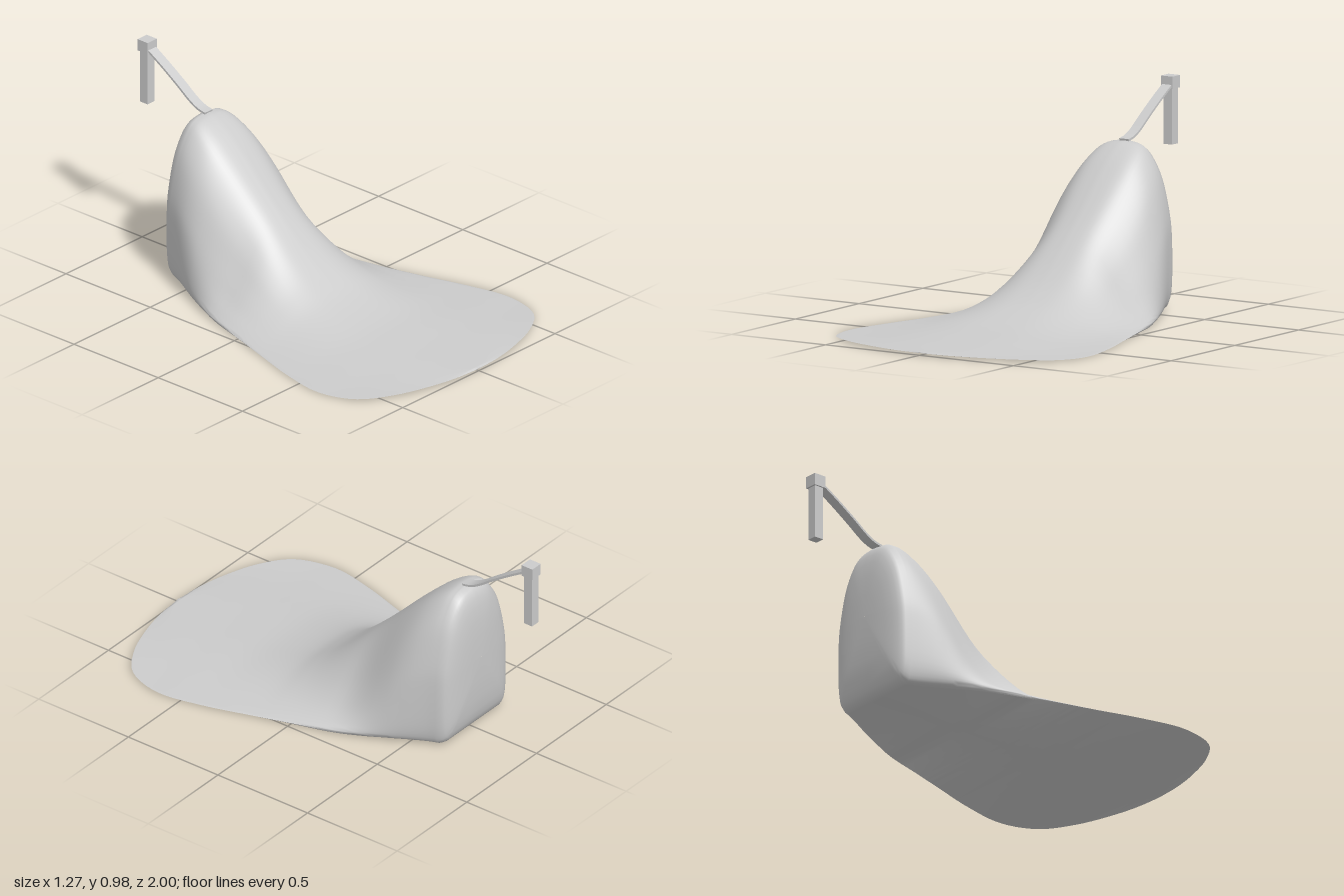
import * as THREE from 'three';
import { toCreasedNormals } from 'three/addons/utils/BufferGeometryUtils.js';

const V2 = (x, y) => new THREE.Vector2(x, y);
const V3 = (a) => new THREE.Vector3(...a);

// Stations along the body: z, ridge height, half width
const STATIONS = [
  [1, 0.019, 0.003], [0.99, 0.02, 0.14], [0.96, 0.021, 0.28], [0.9, 0.023, 0.445],
  [0.8, 0.027, 0.58], [0.62, 0.035, 0.637], [0.4, 0.052, 0.6], [0.2, 0.1, 0.54],
  [0.1, 0.152, 0.51], [0, 0.225, 0.48], [-0.2, 0.41, 0.42], [-0.4, 0.61, 0.34],
  [-0.5, 0.695, 0.295], [-0.58, 0.74, 0.257], [-0.62, 0.745, 0.24],
];
// Half sections from ridge to base edge, as fractions of width and height
const BACK = [[0, 1], [0.32, 0.985], [0.54, 0.93], [0.78, 0.79], [0.95, 0.57], [1, 0.4], [1, 0.15], [0.94, 0.03], [0.82, 0]];
const FRONT = [[0, 1], [0.2, 0.97], [0.35, 0.86], [0.5, 0.66], [0.65, 0.42], [0.8, 0.22], [0.93, 0.1], [1, 0.04], [0.99, 0]];
// Rounded rear end: z, scale of the last section about its middle
const REAR = [[-0.645, 0.96], [-0.658, 0.91], [-0.668, 0.84], [-0.677, 0.73], [-0.685, 0.55], [-0.69, 0.3], [-0.692, 0.003]];
const MIDDLE = 0.39;

// Closed section: base centre, +x side, ridge, -x side
function section(z, height, width) {
  const blend = THREE.MathUtils.smoothstep(z, -0.62, -0.15);
  const half = new THREE.SplineCurve(BACK.map((p, i) => V2(...p).lerp(V2(...FRONT[i]), blend))).getPoints(32);
  const widest = Math.max(...half.map((p) => p.x));
  const base = 0.005 + 0.01 * THREE.MathUtils.smoothstep(z, 0.65, 1) + 0.005 * THREE.MathUtils.smoothstep(-z, 0, 0.6);
  const right = half.map((p) => V2((p.x / widest) * width, base + p.y * (height - base))).reverse();
  const left = right.slice(0, -1).reverse().map((p) => V2(-p.x, p.y));
  return [V2(0, base), ...right, ...left].map((p) => new THREE.Vector3(p.x, p.y, z));
}

// Skin a row of closed sections running from front to back
function loft(rings) {
  const n = rings[0].length;
  const index = [];
  for (let r = 0; r < rings.length - 1; r++) {
    for (let j = 0; j < n; j++) {
      const k = (j + 1) % n;
      const a = r * n + j, b = r * n + k, c = a + n, d = b + n;
      index.push(a, c, b, b, c, d);
    }
  }
  const geometry = new THREE.BufferGeometry().setFromPoints(rings.flat());
  geometry.setIndex(index);
  return toCreasedNormals(geometry, 0.9);
}

function bodyGeometry() {
  const rail = new THREE.CatmullRomCurve3(STATIONS.map(V3));
  const rings = rail.getPoints((STATIONS.length - 1) * 5).map((p) => section(p.x, p.y, p.z));
  const last = rings[rings.length - 1];
  for (const [z, s] of REAR) {
    rings.push(last.map((p) => new THREE.Vector3(p.x * s, MIDDLE + (p.y - MIDDLE) * s, z)));
  }
  return loft(rings);
}

// Flat curved strip, drawn in side profile and extruded across x
function strapGeometry(width, thickness) {
  const path = new THREE.SplineCurve([
    V2(0.605, 0.747), V2(0.65, 0.757), V2(0.7, 0.783), V2(0.77, 0.833), V2(0.86, 0.893), V2(0.945, 0.945),
  ]);
  const upper = [], lower = [];
  for (let i = 0; i <= 20; i++) {
    const p = path.getPoint(i / 20), t = path.getTangent(i / 20);
    const offset = V2(-t.y, t.x).multiplyScalar(thickness / 2);
    upper.push(p.clone().add(offset));
    lower.unshift(p.clone().sub(offset));
  }
  const geometry = new THREE.ExtrudeGeometry(new THREE.Shape([...lower, ...upper]), { depth: width, bevelEnabled: false });
  geometry.translate(0, 0, -width / 2).rotateY(Math.PI / 2);
  return toCreasedNormals(geometry, 0.6);
}

export function createModel() {
  const model = new THREE.Group();
  const material = new THREE.MeshStandardMaterial({ color: 0xcccccc });
  const add = (name, geometry, x = 0, y = 0, z = 0) => {
    const mesh = new THREE.Mesh(geometry, material);
    mesh.name = name;
    mesh.position.set(x, y, z);
    model.add(mesh);
  };

  add('body', bodyGeometry());
  add('strap', strapGeometry(0.05, 0.01));
  // Hanging post with a wider head at the end of the strap
  add('postHead', new THREE.BoxGeometry(0.06, 0.055, 0.06), 0, 0.9575, -0.97);
  add('postStem', new THREE.BoxGeometry(0.046, 0.26, 0.046), 0, 0.81, -0.97);
  return model;
}
